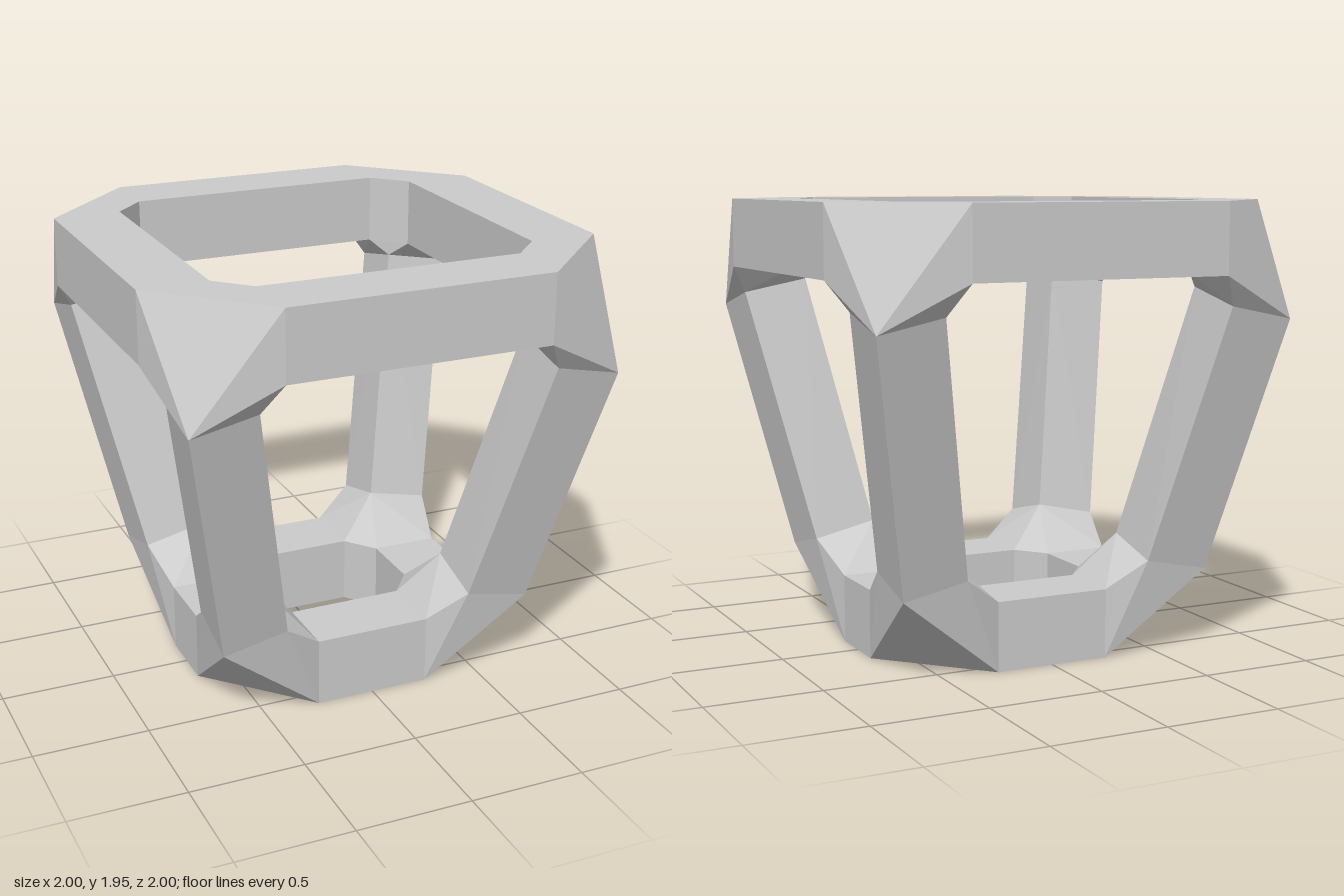
import * as THREE from 'three';
import { ConvexGeometry } from 'three/addons/geometries/ConvexGeometry.js';

// Beam end sections for the +x +z corner; every other corner is a mirror of it.
const rect = (a, b, y0, y1, place) =>
  [[a, y0], [b, y0], [a, y1], [b, y1]].map(([w, y]) => place(w, y));

const ends = {
  topFront: rect(0.71, 1, 1.65, 1.95, (w, y) => [0.57, y, w]),
  topSide: rect(0.705, 1, 1.65, 1.95, (w, y) => [w, y, 0.57]),
  bottomFront: rect(0.285, 0.58, 0, 0.3, (w, y) => [0.255, y, w]),
  bottomSide: rect(0.36, 0.655, 0, 0.3, (w, y) => [w, y, 0.15]),
  legTop: [[0.93, 1.46, 0.925], [0.645, 1.52, 0.925], [0.925, 1.53, 0.645], [0.64, 1.585, 0.64]],
  legBottom: [[0.71, 0.36, 0.645], [0.425, 0.42, 0.645], [0.705, 0.43, 0.36], [0.43, 0.49, 0.365]],
};

export function createModel() {
  const group = new THREE.Group();
  const material = new THREE.MeshStandardMaterial({ color: 0xcccccc, flatShading: true });

  const mirror = (points, sx, sz) =>
    points.map(([x, y, z]) => new THREE.Vector3(x * sx, y, z * sz));

  const addHull = (name, points) => {
    const mesh = new THREE.Mesh(new ConvexGeometry(points), material);
    mesh.name = name;
    group.add(mesh);
  };

  for (const s of [1, -1]) {
    // Horizontal beams of the upper and lower rings
    for (const ring of ['top', 'bottom']) {
      const front = ends[ring + 'Front'], side = ends[ring + 'Side'];
      addHull(ring + (s > 0 ? 'FrontBeam' : 'BackBeam'),
        [...mirror(front, 1, s), ...mirror(front, -1, s)]);
      addHull(ring + (s > 0 ? 'LeftBeam' : 'RightBeam'),
        [...mirror(side, s, 1), ...mirror(side, s, -1)]);
    }
    // Slanted legs and the faceted joints where three beams meet
    for (const sz of [1, -1]) {
      const corner = (sz > 0 ? 'Front' : 'Back') + (s > 0 ? 'Left' : 'Right');
      addHull('leg' + corner, mirror([...ends.legTop, ...ends.legBottom], s, sz));
      addHull('topJoint' + corner,
        mirror([...ends.topFront, ...ends.topSide, ...ends.legTop], s, sz));
      addHull('bottomJoint' + corner,
        mirror([...ends.bottomFront, ...ends.bottomSide, ...ends.legBottom], s, sz));
    }
  }
  return group;
}
